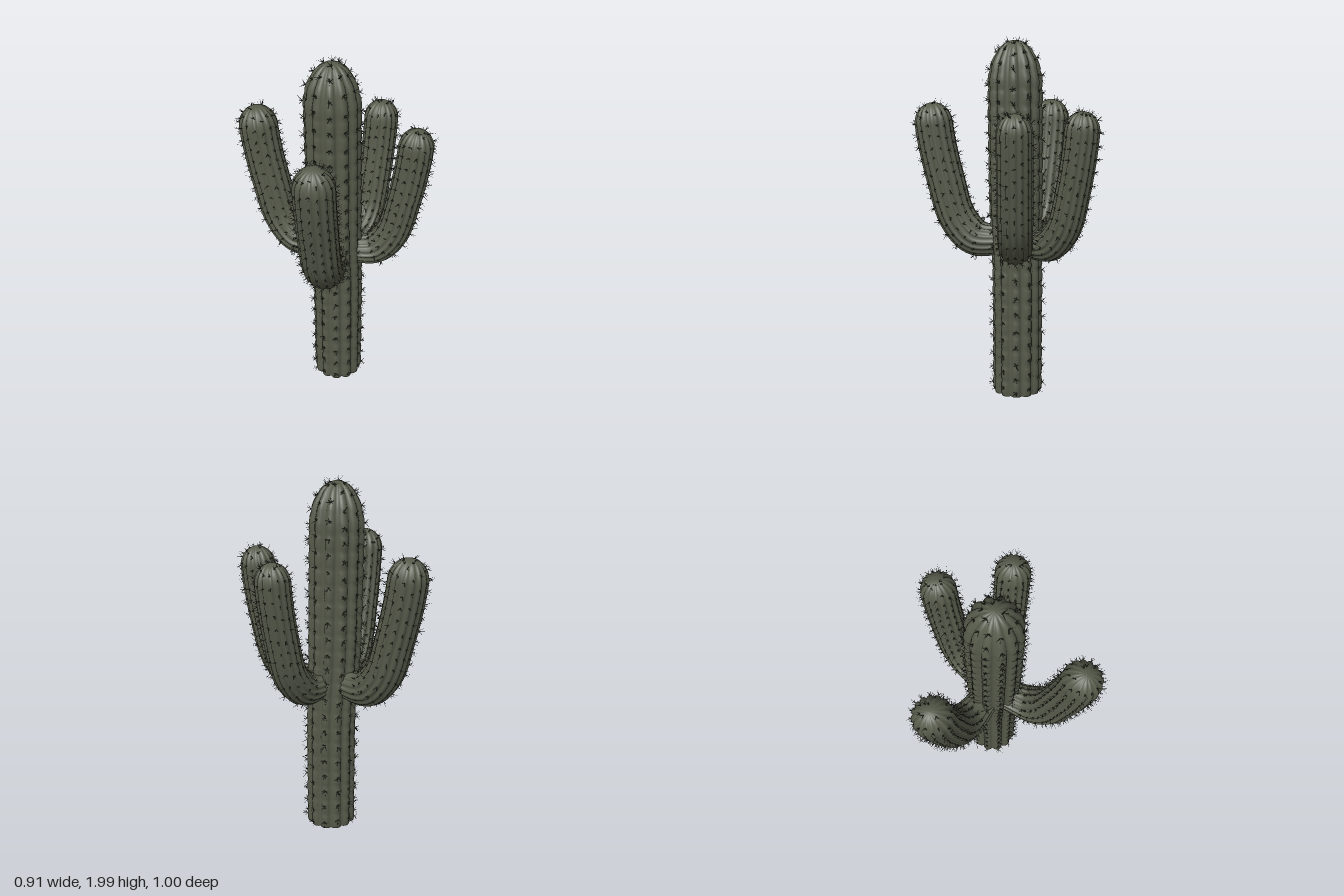
import * as THREE from 'three';

const skin = new THREE.MeshStandardMaterial({ color: 0x565a4a });
skin.name = 'cactus skin';
const thorn = new THREE.MeshStandardMaterial({ color: 0x2c2d24 });
thorn.name = 'dark spines';

// Small seeded random generator
let seed = 7;
const rand = () => (seed = (seed * 16807) % 2147483647) / 2147483647;
const jitter = (k) => (rand() - 0.5) * 2 * k;

// One ribbed, dome-ended column swept along a planar curve.
// side: fixed unit vector perpendicular to the curve's plane
function makeStem(name, o) {
  const curve = new THREE.CatmullRomCurve3(o.points);
  const length = curve.getLength();
  const domeStart = length - o.dome;
  const cols = o.ribs * o.perRib;

  // Point on the surface at distance s along the stem and angle a around it
  const surface = (s, a) => {
    const u = THREE.MathUtils.clamp(s / length, 0, 1);
    const centre = curve.getPointAt(u);
    const tangent = curve.getTangentAt(u);
    const n = new THREE.Vector3().crossVectors(o.side, tangent).normalize();
    const dir = n.multiplyScalar(Math.cos(a)).addScaledVector(o.side, Math.sin(a));
    const e = THREE.MathUtils.clamp((s - domeStart) / o.dome, 0, 1);
    const lobe = Math.abs(Math.cos(o.ribs * a / 2));
    const seam = Math.pow(Math.abs(Math.cos(Math.PI * s / o.spacing)), 10);
    const r = o.radius(u) * Math.sqrt(1 - e * e)
      * (1 - o.depth * (1 - Math.pow(lobe, 0.8)) - o.notch * seam * lobe);
    return { p: centre.addScaledVector(dir, r), dir, tangent, e };
  };

  // Ring positions: even along the shaft, bunched up towards the tip
  const stops = [];
  const count = Math.round(domeStart / o.step);
  for (let i = 0; i < count; i++) stops.push(domeStart * i / count);
  for (let i = 0; i <= 14; i++) stops.push(domeStart + o.dome * Math.sin(i / 14 * Math.PI / 2));

  const pos = [], index = [];
  stops.forEach((s, i) => {
    for (let j = 0; j < cols; j++) {
      pos.push(...surface(s, j / cols * Math.PI * 2).p.toArray());
      if (i === stops.length - 1) continue;
      const a = i * cols + j, b = i * cols + (j + 1) % cols;
      index.push(a, b, a + cols, b, b + cols, a + cols);
    }
  });
  const geo = new THREE.BufferGeometry();
  geo.setAttribute('position', new THREE.Float32BufferAttribute(pos, 3));
  geo.setIndex(index);
  geo.computeVertexNormals();

  const group = new THREE.Group();
  group.name = name;
  const body = new THREE.Mesh(geo, skin);
  body.name = name + 'Body';
  group.add(body, makeSpines(name, o, surface, length));

  // Flat lobed underside
  if (o.capped) {
    const outline = [];
    for (let j = 0; j < cols; j++) outline.push(new THREE.Vector2(pos[j * 3], pos[j * 3 + 2]));
    const cap = new THREE.Mesh(new THREE.ShapeGeometry(new THREE.Shape(outline)).rotateX(Math.PI / 2), skin);
    cap.name = name + 'Underside';
    group.add(cap);
  }
  return group;
}

// Clusters of three-sided needles along the crest of every rib
function makeSpines(name, o, surface, length) {
  const pos = [];
  const needle = (base, dir, len, w) => {
    const u = new THREE.Vector3(dir.y, dir.z, -dir.x).cross(dir).normalize();
    const v = new THREE.Vector3().crossVectors(dir, u);
    const tip = base.clone().addScaledVector(dir, len);
    const ring = [0, 1, 2].map((k) => base.clone().addScaledVector(dir, -0.004)
      .addScaledVector(u, w * Math.cos(k * 2.0944)).addScaledVector(v, w * Math.sin(k * 2.0944)));
    for (let k = 0; k < 3; k++) {
      pos.push(...ring[k].toArray(), ...ring[(k + 1) % 3].toArray(), ...tip.toArray());
    }
  };
  for (let k = 0; k < o.ribs; k++) {
    const a = k / o.ribs * Math.PI * 2;
    let s = o.spineStart + jitter(o.spacing * 0.2);
    while (s < length - 0.002) {
      const q = surface(s, a);
      const across = new THREE.Vector3().crossVectors(q.tangent, q.dir);
      const out = q.dir.clone().addScaledVector(q.tangent, q.e * q.e * 1.6).normalize();
      for (let m = 0; m < o.cluster; m++) {
        const turn = (m + rand()) / o.cluster * Math.PI * 2;
        const dir = out.clone()
          .addScaledVector(across, Math.cos(turn) * o.spread)
          .addScaledVector(q.tangent, Math.sin(turn) * o.spread).normalize();
        needle(q.p, dir, o.spineLength * (0.5 + 0.7 * rand()), 0.0021);
      }
      // Steps shorten over the dome so the crown stays bristly
      s += o.spacing * Math.max(0.12, Math.sqrt(1 - q.e * q.e)) * (1 + jitter(0.15));
    }
  }
  const geo = new THREE.BufferGeometry();
  geo.setAttribute('position', new THREE.Float32BufferAttribute(pos, 3));
  geo.computeVertexNormals();
  const mesh = new THREE.Mesh(geo, thorn);
  mesh.name = name + 'Spines';
  return mesh;
}

// Arm: leaves the trunk sideways, sags, then bends upwards
function makeArm(name, dx, dz, shape, size) {
  const out = new THREE.Vector3(dx, 0, dz).normalize();
  const points = shape.map(([d, y]) => new THREE.Vector3(-0.04, y, 0).addScaledVector(out, d));
  return makeStem(name, {
    points,
    side: new THREE.Vector3(-out.z, 0, out.x),
    radius: (u) => size * (0.82 + 0.18 * THREE.MathUtils.smoothstep(u, 0.06, 0.26)),
    dome: size * 1.1, ribs: 16, perRib: 4, depth: 0.12, notch: 0, step: 0.016,
    spacing: 0.065, spineStart: 0.2, cluster: 3, spread: 0.6, spineLength: 0.032,
  });
}

export function createModel() {
  const model = new THREE.Group();
  model.name = 'cactus';

  model.add(makeStem('trunk', {
    points: [[-0.028, 0], [-0.028, 0.3], [-0.03, 0.7], [-0.045, 1.0], [-0.052, 1.4], [-0.058, 1.965]]
      .map(([x, y]) => new THREE.Vector3(x, y, 0)),
    side: new THREE.Vector3(0, 0, 1),
    radius: (u) => 0.14 + 0.01 * THREE.MathUtils.smoothstep(u, 0.35, 0.6),
    dome: 0.24, ribs: 12, perRib: 6, depth: 0.17, notch: 0.04, step: 0.015,
    spacing: 0.09, spineStart: 0.04, cluster: 6, spread: 1, spineLength: 0.035,
    capped: true,
  }));

  // Longer, wider-spread pair on the right; shorter pair on the left
  const longArm = [[0.02, 0.9], [0.13, 0.872], [0.24, 0.885], [0.335, 0.99], [0.4, 1.2], [0.45, 1.42], [0.478, 1.63]];
  const shortArm = [[0.02, 0.89], [0.13, 0.865], [0.22, 0.878], [0.31, 0.98], [0.37, 1.2], [0.408, 1.42], [0.425, 1.605]];
  for (const [place, z] of [['Front', 1], ['Back', -1]]) {
    model.add(makeArm('right' + place + 'Arm', -0.295, 0.385 * z, longArm, 0.106));
    model.add(makeArm('left' + place + 'Arm', 0.39, 0.205 * z, shortArm, 0.094));
  }
  return model;
}
